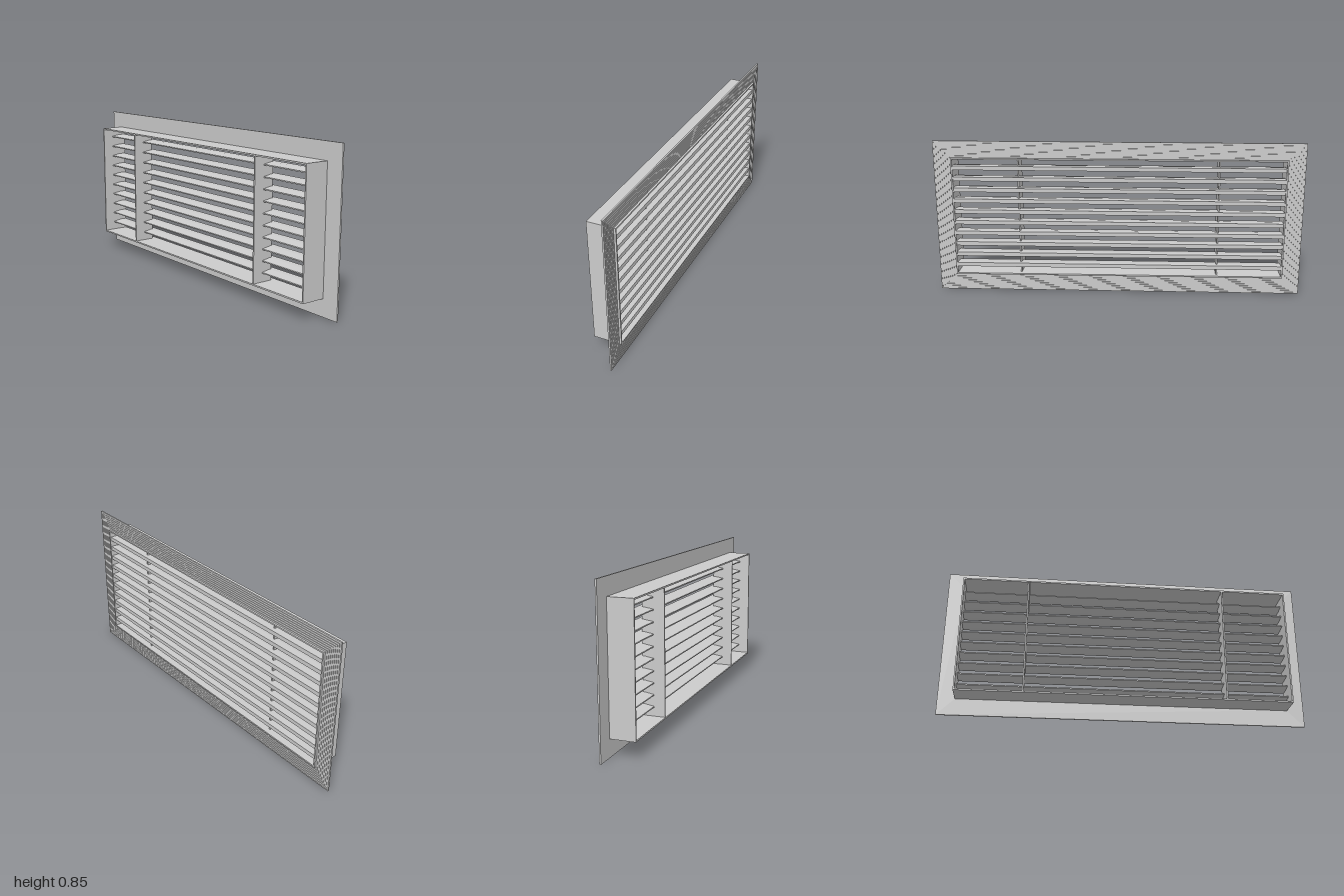
import * as THREE from 'three';

const material = new THREE.MeshStandardMaterial({ color: 0xcccccc, flatShading: true });
const MID_Y = 0.425;

// Rectangular ring in the xy plane, extruded from zBack to zFront
function frame(name, outerX, outerY, innerX, innerY, zBack, zFront) {
  const rect = (Type, x, y) => new Type([
    new THREE.Vector2(-x, -y), new THREE.Vector2(x, -y),
    new THREE.Vector2(x, y), new THREE.Vector2(-x, y),
  ]);
  const shape = rect(THREE.Shape, outerX, outerY);
  shape.holes.push(rect(THREE.Path, innerX, innerY));
  const geometry = new THREE.ExtrudeGeometry(shape, { depth: zFront - zBack, bevelEnabled: false });
  geometry.translate(0, MID_Y, zBack);
  const mesh = new THREE.Mesh(geometry, material);
  mesh.name = name;
  return mesh;
}

// Slat with a blunt back edge and a tapered front nose
function slatGeometry(length) {
  const profile = new THREE.Shape([
    [-0.07, -0.011], [-0.035, -0.011], [0.015, -0.003],
    [0.015, 0.003], [-0.035, 0.011], [-0.07, 0.011],
  ].map(([z, y]) => new THREE.Vector2(-z, y)));
  const geometry = new THREE.ExtrudeGeometry(profile, { depth: length, bevelEnabled: false });
  geometry.translate(0, 0, -length / 2);
  geometry.rotateY(Math.PI / 2);
  return geometry;
}

export function createModel() {
  const model = new THREE.Group();
  model.name = 'ventGrille';

  // Duct sleeve and wall flange
  model.add(frame('sleeve', 0.907, 0.333, 0.899, 0.325, -0.075, 0.075));
  model.add(frame('flange', 1, 0.425, 0.905, 0.331, -0.0645, -0.058));

  // Fine concentric ribs on the back of the flange
  const ribs = new THREE.Group();
  ribs.name = 'flangeRibs';
  const count = 8, pitch = 0.093 / count;
  for (let i = 0; i < count; i++) {
    const inset = i * pitch, width = pitch * 0.6;
    ribs.add(frame('rib', 1 - inset, 0.425 - inset,
      1 - inset - width, 0.425 - inset - width, -0.0665, -0.064));
  }
  model.add(ribs);

  // Horizontal slats
  const slats = new THREE.Group();
  slats.name = 'slats';
  const slat = slatGeometry(1.8);
  for (let i = 0; i < 10; i++) {
    const mesh = new THREE.Mesh(slat, material);
    mesh.name = 'slat';
    mesh.position.y = MID_Y + (i - 4.5) * 0.0615;
    slats.add(mesh);
  }
  model.add(slats);

  // Upright dividers carrying the slats
  for (const side of [-1, 1]) {
    const divider = new THREE.Mesh(new THREE.BoxGeometry(0.008, 0.652, 0.118), material);
    divider.name = side > 0 ? 'leftDivider' : 'rightDivider';
    divider.position.set(side * 0.546, MID_Y, 0.014);
    model.add(divider);
  }
  return model;
}
